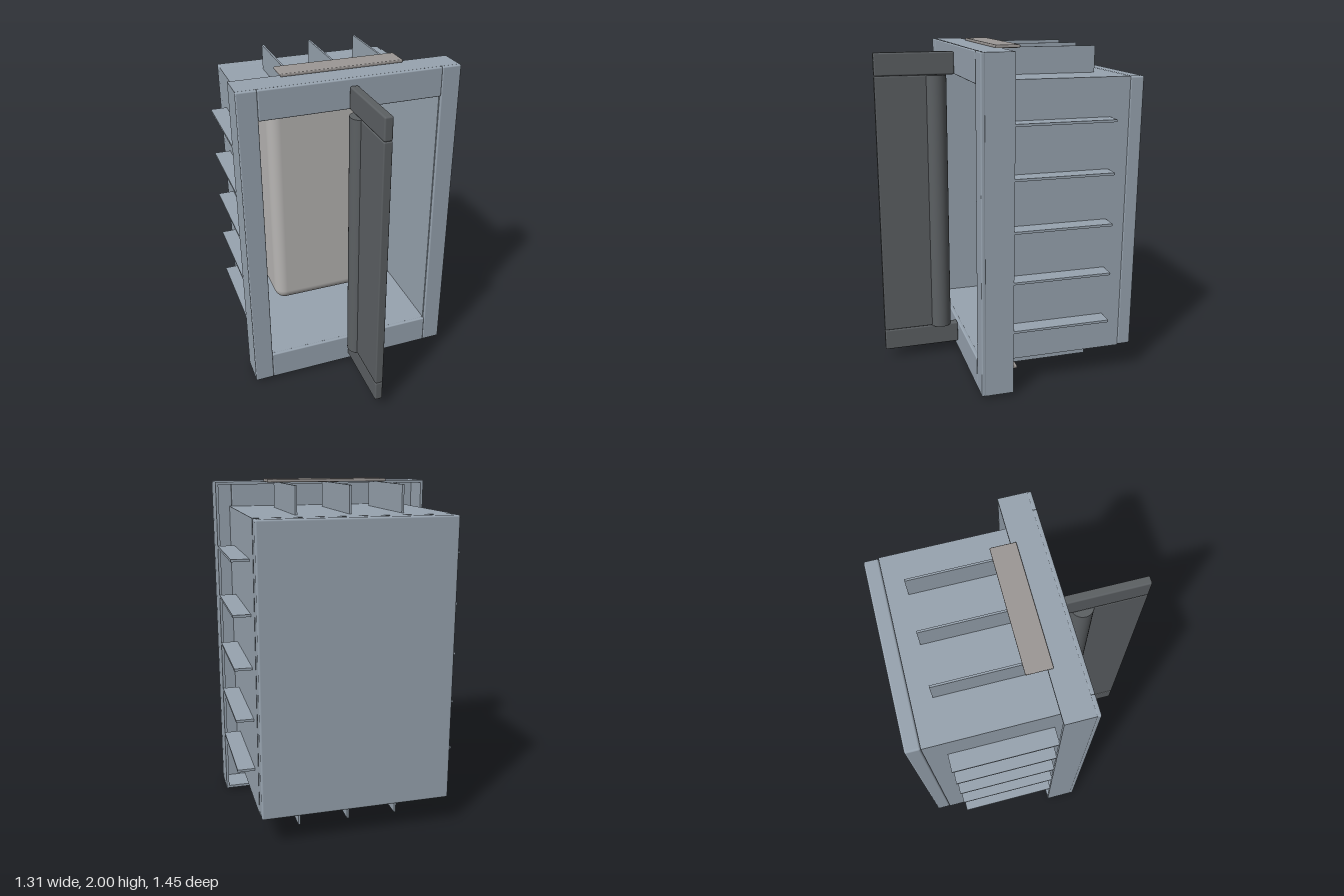
import * as THREE from 'three';
import { RoundedBoxGeometry } from 'three/addons/geometries/RoundedBoxGeometry.js';

const paint = (color) => new THREE.MeshStandardMaterial({ color });

export function createModel() {
  const model = new THREE.Group();
  const steel = paint(0x98a4b0);
  const dark = paint(0x5c6063);
  const pale = paint(0xb8b6b4);
  const taupe = paint(0x9c9896);
  const cream = paint(0xc8bd98);

  // Box given by its limits on each axis; r > 0 rounds the edges
  function box(name, material, [x0, x1], [y0, y1], [z0, z1], r = 0, seg = 2) {
    const size = [x1 - x0, y1 - y0, z1 - z0];
    const geometry = r > 0 ? new RoundedBoxGeometry(...size, seg, r) : new THREE.BoxGeometry(...size);
    const mesh = new THREE.Mesh(geometry, material);
    mesh.name = name;
    mesh.position.set((x0 + x1) / 2, (y0 + y1) / 2, (z0 + z1) / 2);
    model.add(mesh);
    return mesh;
  }

  // Rectangular tube running along z
  function tube(name, [hw, y0, y1], wall, z0, z1) {
    const shape = new THREE.Shape([[-hw, y0], [hw, y0], [hw, y1], [-hw, y1]].map((p) => new THREE.Vector2(...p)));
    const a = hw - wall, b = y0 + wall, c = y1 - wall;
    shape.holes.push(new THREE.Path([[-a, b], [-a, c], [a, c], [a, b]].map((p) => new THREE.Vector2(...p))));
    const geometry = new THREE.ExtrudeGeometry(shape, { depth: z1 - z0, bevelEnabled: false });
    geometry.translate(0, 0, z0);
    const mesh = new THREE.Mesh(geometry, steel);
    mesh.name = name;
    model.add(mesh);
  }

  // Hollow cabinet and its closed back
  tube('cabinetWalls', [0.555, 0.18, 1.83], 0.018, -0.64, 0.228);
  box('backPanel', steel, [-0.555, 0.555], [0.18, 1.83], [-0.725, -0.64], 0.012);

  // Front frame with a thin rim behind it
  tube('frameRim', [0.655, 0.016, 1.984], 0.016, 0.06, 0.228);
  for (const s of [-1, 1]) {
    const edges = [0.54 * s, 0.657 * s].sort((a, b) => a - b);
    box('framePost', steel, edges, [0.015, 1.985], [0.225, 0.25], 0.008);
  }
  box('frameBottomRail', steel, [-0.54, 0.54], [0.015, 0.2], [0.225, 0.25], 0.008);
  box('frameTopRail', steel, [-0.54, 0.54], [1.81, 1.985], [0.225, 0.25], 0.008);

  // Cooling fins on the sides, top and bottom
  const finZ = [-0.525, 0.062];
  for (const y of [0.4, 0.7, 1, 1.3, 1.6]) {
    box('leftFin', steel, [0.55, 0.655], [y - 0.007, y + 0.007], finZ);
    box('rightFin', steel, [-0.655, -0.55], [y - 0.007, y + 0.007], finZ);
  }
  for (const x of [-0.3, 0, 0.3]) {
    box('topFin', steel, [x - 0.006, x + 0.006], [1.825, 1.984], finZ);
    box('bottomFin', steel, [x - 0.006, x + 0.006], [0.016, 0.185], finZ);
  }

  // Plates lying over the rim, and the wide plate under the cabinet
  box('topPlate', taupe, [-0.365, 0.365], [1.982, 2], [-0.055, 0.09], 0.006);
  box('bottomPlate', taupe, [-0.365, 0.365], [0, 0.018], [-0.055, 0.09], 0.006);
  box('underPlate', taupe, [-0.3, 0.3], [0.012, 0.026], [-0.39, 0.06]);

  // Rounded insert inside the cabinet
  box('insert', pale, [-0.365, 0.365], [0.235, 1.775], [-0.62, -0.23], 0.075, 5);
  box('insertSideStrip', cream, [0.355, 0.371], [0.3, 1.7], [-0.5, -0.36]);

  // Upright bar with a round column and two end arms
  const column = new THREE.Mesh(new THREE.CylinderGeometry(0.065, 0.065, 1.61, 32), dark);
  column.name = 'column';
  column.position.set(0, 1.005, 0.36);
  model.add(column);
  box('blade', dark, [-0.025, 0.025], [0.2, 1.81], [0.36, 0.725], 0.008);
  box('topArm', dark, [-0.025, 0.025], [1.81, 1.945], [0.25, 0.725], 0.01);
  box('bottomArm', dark, [-0.025, 0.025], [0.065, 0.2], [0.25, 0.725], 0.01);

  return model;
}
